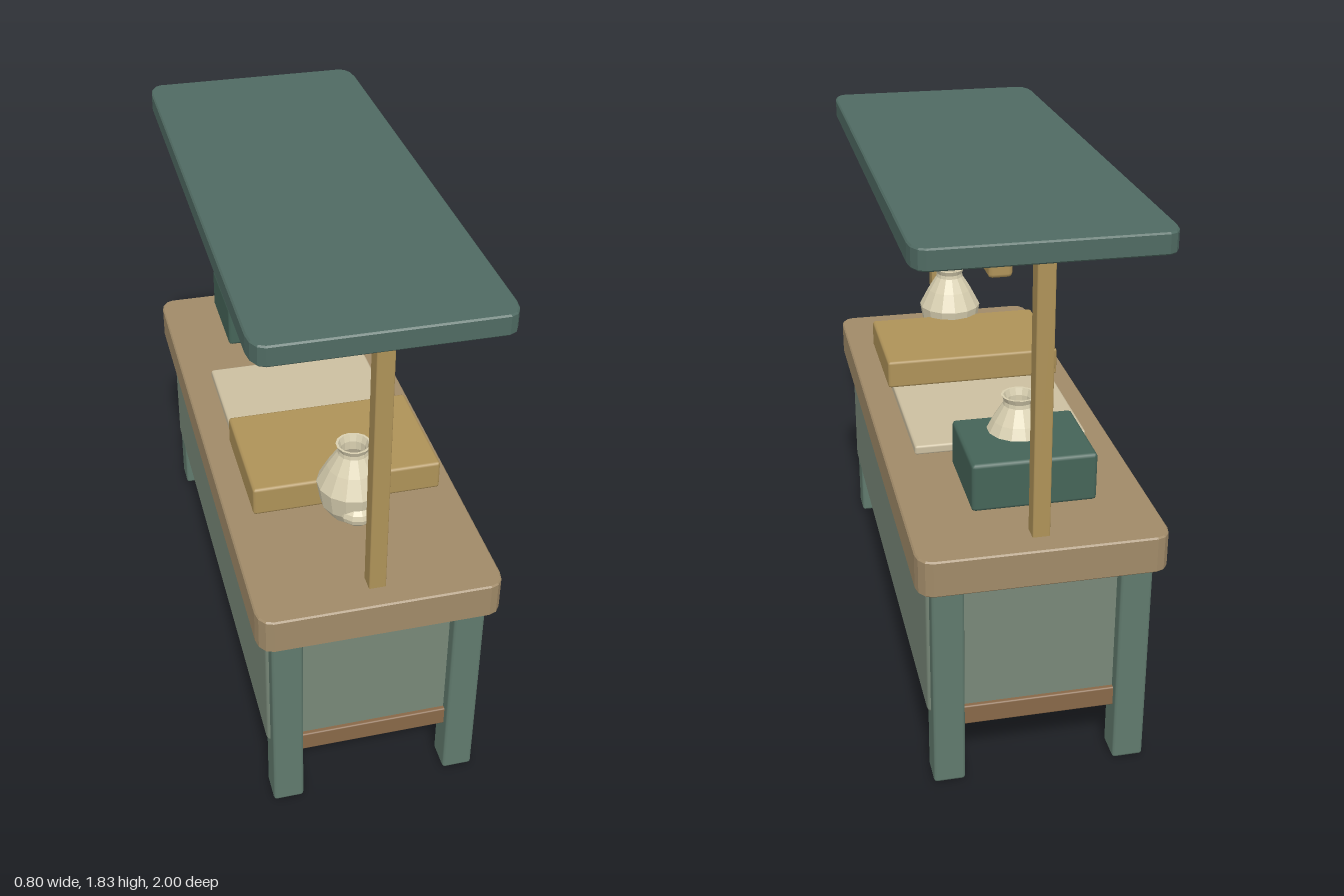
import * as THREE from 'three';
import { RoundedBoxGeometry } from 'three/addons/geometries/RoundedBoxGeometry.js';

const mat = (color, extra = {}) => new THREE.MeshStandardMaterial({ color, ...extra });
const legGreen = mat(0x607a6d);
const panelGreen = mat(0x788878);
const roofGreen = mat(0x4f6a62);
const crateGreen = mat(0x456458);
const topWood = mat(0xa08a68);
const shelfWood = mat(0x886848);
const goldWood = mat(0xae9258);
const paper = mat(0xccbfa0);
const clay = mat(0xd8cfb0, { flatShading: true, side: THREE.DoubleSide });

export function createModel() {
  const group = new THREE.Group();

  function add(name, geometry, material, x = 0, y = 0, z = 0) {
    const mesh = new THREE.Mesh(geometry, material);
    mesh.name = name;
    mesh.position.set(x, y, z);
    group.add(mesh);
    return mesh;
  }

  // Softly bevelled box given by its min/max extents
  function box(name, material, [x0, x1], [y0, y1], [z0, z1], r = 0.008) {
    const geometry = new RoundedBoxGeometry(x1 - x0, y1 - y0, z1 - z0, 1, r);
    return add(name, geometry, material, (x0 + x1) / 2, (y0 + y1) / 2, (z0 + z1) / 2);
  }

  // Horizontal slab with elliptical corners and a slim bevel
  function slab(name, material, halfX, halfZ, y0, y1, rx, rz) {
    const bevel = 0.005;
    const points = [];
    const corners = [[1, 1], [-1, 1], [-1, -1], [1, -1]];
    corners.forEach(([sx, sz], quarter) => {
      for (let i = 0; i <= 3; i++) {
        const a = (quarter + i / 3) * Math.PI / 2;
        points.push(new THREE.Vector2(
          sx * (halfX - bevel - rx) + rx * Math.cos(a),
          sz * (halfZ - bevel - rz) + rz * Math.sin(a)));
      }
    });
    const geometry = new THREE.ExtrudeGeometry(new THREE.Shape(points), {
      depth: y1 - y0 - 2 * bevel, bevelThickness: bevel, bevelSize: bevel, bevelSegments: 1,
    });
    geometry.rotateX(-Math.PI / 2);
    add(name, geometry, material, 0, y0 + bevel, 0);
  }

  // Counter: body, lower shelf, legs and top
  box('counterBody', panelGreen, [-0.365, 0.365], [0.25, 0.75], [-0.92, 0.92], 0.015);
  box('lowerShelf', shelfWood, [-0.34, 0.34], [0.2, 0.27], [-0.935, 0.935], 0.005);
  for (const sx of [-1, 1]) {
    for (const sz of [-1, 1]) {
      const leg = new RoundedBoxGeometry(0.104, 0.75, 0.104, 1, 0.01);
      add('leg', leg, legGreen, sx * 0.302, 0.375, sz * 0.91);
    }
  }
  slab('counterTop', topWood, 0.4, 1, 0.74, 0.865, 0.045, 0.06);

  // Canopy on two posts, with a hanging sign board
  for (const sz of [-1, 1]) {
    box('post', goldWood, [-0.028, 0.028], [0.86, 1.77], [sz * 0.89 - 0.029, sz * 0.89 + 0.029], 0.004);
  }
  slab('canopy', roofGreen, 0.392, 0.953, 1.762, 1.83, 0.04, 0.075);
  box('signBoard', goldWood, [-0.02, 0.06], [1.527, 1.765], [-0.416, 0.416], 0.014);

  // Goods on the counter
  box('displaySheet', paper, [-0.3, 0.3], [0.887, 0.92], [-0.35, 0.35]);
  box('woodenCrate', goldWood, [-0.32, 0.32], [0.924, 1.027], [0.125, 0.55], 0.01);
  box('greenCrate', crateGreen, [-0.2, 0.2], [0.923, 1.085], [-0.83, -0.5], 0.012);

  const jarProfile = [
    [0, 0.937], [0.078, 0.937], [0.106, 0.98], [0.119, 1.055], [0.085, 1.12],
    [0.052, 1.172], [0.05, 1.185], [0.058, 1.203], [0.05, 1.203], [0.042, 1.18], [0.042, 1.15],
  ].map(([r, y]) => new THREE.Vector2(r, y));
  for (const z of [0.605, -0.6]) {
    add('jar', new THREE.LatheGeometry(jarProfile, 14), clay, 0, 0, z);
  }

  // Small round pot beside the front jar
  const pot = add('smallPot', new THREE.SphereGeometry(0.065, 12, 8), clay, 0, 0.983, 0.67);
  pot.scale.y = 0.68;

  return group;
}
